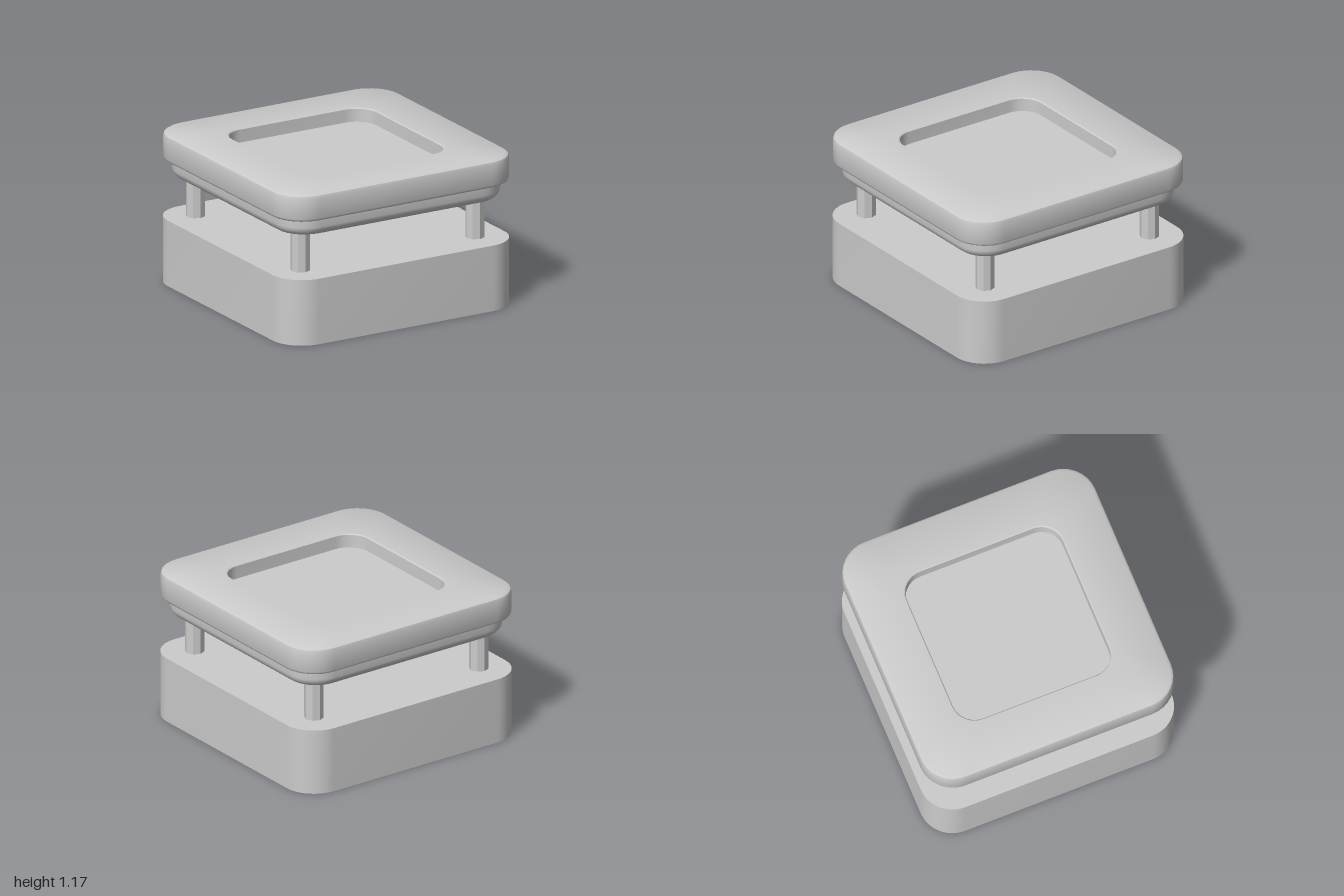
import * as THREE from 'three';
import { toCreasedNormals } from 'three/addons/utils/BufferGeometryUtils.js';

const material = new THREE.MeshStandardMaterial({ color: 0xcccccc });

// One horizontal rounded square: half width h, height y, corner radius r
function ring(h, y, r, seg) {
  const pts = [];
  for (let k = 0; k < 4; k++) {
    const mid = (k + 0.5) * Math.PI / 2;
    const cx = Math.sign(Math.cos(mid)) * (h - r);
    const cz = Math.sign(Math.sin(mid)) * (h - r);
    for (let i = 0; i <= seg; i++) {
      const a = (k + i / seg) * Math.PI / 2;
      pts.push(new THREE.Vector3(cx + r * Math.cos(a), y, cz + r * Math.sin(a)));
    }
  }
  return pts;
}

// Skin a run of rounded squares; a half width of 0 closes the shape at its centre
function loft(name, profile, seg = 8) {
  const rings = profile.map(([h, y, r]) => ring(h, y, r, seg));
  const pos = [];
  const tri = (a, b, c) => {
    const area = b.clone().sub(a).cross(c.clone().sub(a)).length();
    if (area > 1e-9) pos.push(...a, ...b, ...c);
  };
  for (let i = 0; i + 1 < rings.length; i++) {
    const lo = rings[i], hi = rings[i + 1];
    for (let j = 0; j < lo.length; j++) {
      const n = (j + 1) % lo.length;
      tri(lo[j], hi[j], lo[n]);
      tri(lo[n], hi[j], hi[n]);
    }
  }
  const geo = new THREE.BufferGeometry();
  geo.setAttribute('position', new THREE.Float32BufferAttribute(pos, 3));
  const mesh = new THREE.Mesh(toCreasedNormals(geo, 0.7), material);
  mesh.name = name;
  return mesh;
}

export function createModel() {
  const model = new THREE.Group();
  model.name = 'raisedSquareStand';

  // Solid base block
  model.add(loft('base', [
    [0, 0, 0], [1, 0, 0.25], [1, 0.51, 0.25], [0, 0.51, 0],
  ], 12));

  // Lower rim of the top: a ring, open in the middle
  model.add(loft('lowerRim', [
    [0.62, 0.96, 0.17], [0.62, 0.83, 0.17],
    [0.91, 0.83, 0.21], [0.925, 0.842, 0.22], [0.945, 0.868, 0.24],
    [0.95, 0.89, 0.25], [0.95, 0.96, 0.25],
  ]));

  // Upper slab with softened edges and a shallow recess
  model.add(loft('topSlab', [
    [0, 0.957, 0],
    [0.98, 0.957, 0.24], [0.994, 0.965, 0.25], [1, 0.98, 0.255],
    [1, 1.135, 0.255], [0.994, 1.155, 0.25], [0.975, 1.167, 0.235],
    [0.63, 1.167, 0.18], [0.622, 1.16, 0.172],
    [0.62, 1.06, 0.17], [0, 1.06, 0],
  ]));

  // Four faceted corner posts
  const postGeo = toCreasedNormals(new THREE.CylinderGeometry(0.073, 0.073, 0.34, 8), 0.3);
  for (const x of [-0.76, 0.75]) {
    for (const z of [-0.748, 0.745]) {
      const post = new THREE.Mesh(postGeo, material);
      post.name = 'cornerPost';
      post.position.set(x, 0.67, z);
      model.add(post);
    }
  }
  return model;
}
